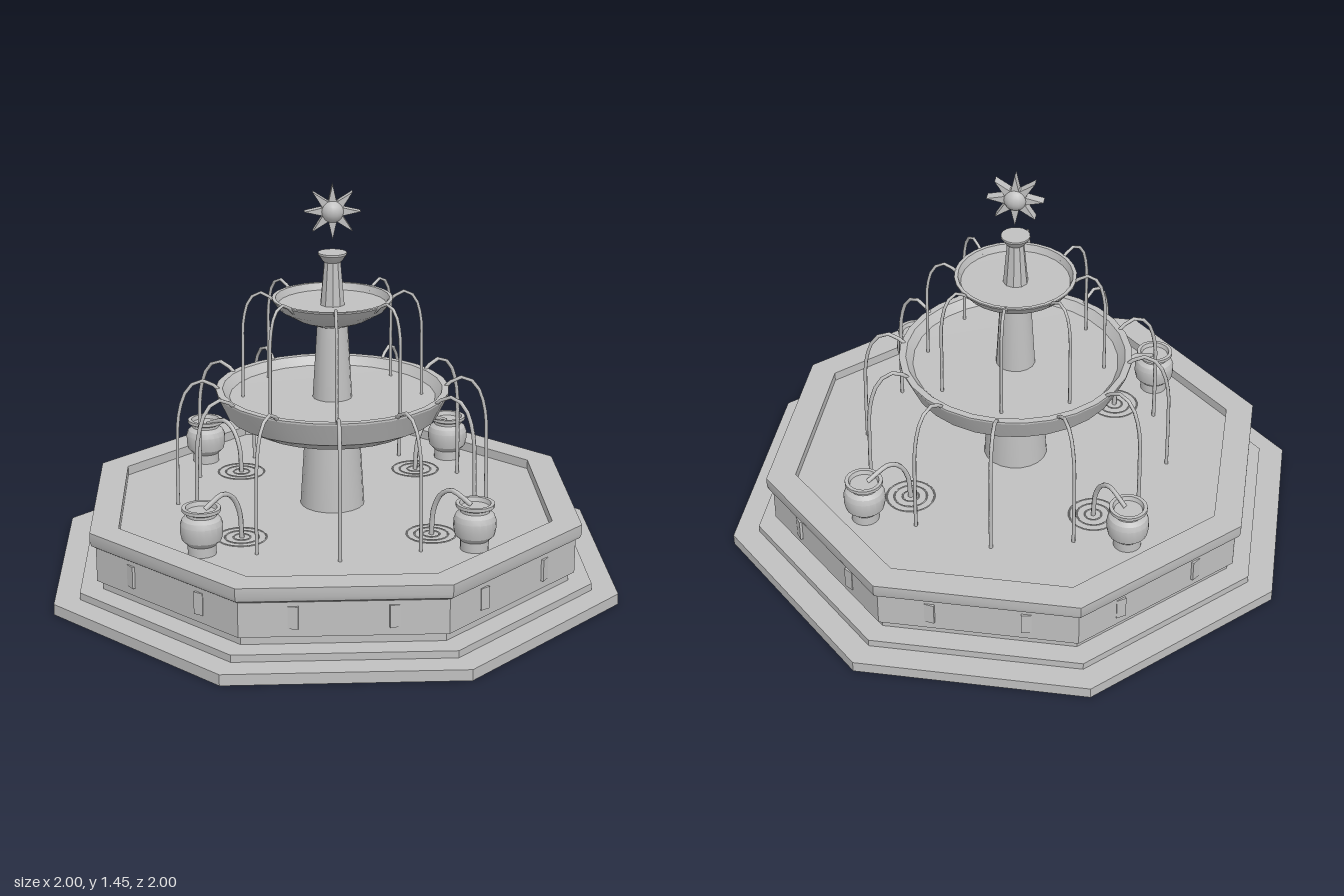
import * as THREE from 'three';
import { toCreasedNormals } from 'three/addons/utils/BufferGeometryUtils.js';

export function createModel() {
  const model = new THREE.Group();
  model.name = 'fountain';
  const stone = new THREE.MeshStandardMaterial({ color: 0xc0c0c0 });
  stone.name = 'grey stone';

  function add(name, geometry, parent = model) {
    const mesh = new THREE.Mesh(geometry, stone);
    mesh.name = name;
    parent.add(mesh);
    return mesh;
  }
  // Turned part from [radius, y] pairs, running bottom to top on the outside
  function turned(profile, sides = 28, start = 0, crease = 0.4) {
    const points = profile.map(([r, y]) => new THREE.Vector2(r, y));
    return toCreasedNormals(new THREE.LatheGeometry(points, sides, start), crease);
  }
  // Octagonal part: radii are given to the middle of a flat side
  function octagon(profile) {
    const k = 1 / Math.cos(Math.PI / 8);
    return turned(profile.map(([r, y]) => [r * k, y]), 8, Math.PI / 8);
  }
  // Jet curving outward along +x, given as [distance, y] pairs
  function jet(path, radius) {
    const curve = new THREE.CatmullRomCurve3(path.map(([x, y]) => new THREE.Vector3(x, y, 0)));
    return new THREE.TubeGeometry(curve, 14, radius, 6);
  }
  function ring(name, count, geometry, offset = 0) {
    const group = new THREE.Group();
    group.name = name + 's';
    for (let i = 0; i < count; i++) {
      add(name, geometry, group).rotation.y = offset + (i / count) * Math.PI * 2;
    }
    model.add(group);
  }

  // Steps and basin wall
  add('steps', octagon([
    [0, 0], [1, 0], [1, 0.04], [0.91, 0.04], [0.91, 0.066], [0.83, 0.066], [0.83, 0.1],
  ]));
  add('basinWall', octagon([
    [0.83, 0.1], [0.85, 0.1], [0.85, 0.225], [0.865, 0.235], [0.87, 0.25],
    [0.87, 0.285], [0.77, 0.285], [0.77, 0.245],
  ]));
  add('basinWater', octagon([[0.77, 0.25], [0, 0.25]]));

  // Small blocks around the wall
  const block = new THREE.BoxGeometry(0.04, 0.08, 0.036);
  block.translate(0.853, 0.17, 0);
  ring('wallBlock', 16, block, Math.PI / 16);

  // Columns and bowls
  add('lowerColumn', turned([[0.118, 0.25], [0.1, 0.54]], 20));
  add('largeBowl', turned([
    [0, 0.525], [0.195, 0.525], [0.3, 0.56], [0.385, 0.605], [0.425, 0.69],
    [0.425, 0.697], [0.4, 0.697], [0.375, 0.665], [0, 0.66],
  ]));
  add('middleColumn', turned([[0.072, 0.66], [0.055, 0.945]], 16));
  add('smallBowl', turned([
    [0, 0.935], [0.065, 0.935], [0.13, 0.96], [0.19, 0.995], [0.218, 1.03],
    [0.218, 1.035], [0.205, 1.035], [0.195, 1.01], [0, 1.008],
  ]));
  add('upperColumn', turned([[0.045, 1.008], [0.03, 1.175]], 10));
  add('columnCap', turned([
    [0.03, 1.165], [0.036, 1.17], [0.052, 1.193], [0.052, 1.2], [0, 1.2],
  ], 16));

  // Floating star with a ball at its centre
  const star = new THREE.Shape();
  for (let i = 0; i < 16; i++) {
    const r = i % 2 ? 0.038 : 0.1;
    const a = (i * Math.PI) / 8;
    star[i ? 'lineTo' : 'moveTo'](r * Math.cos(a), r * Math.sin(a));
  }
  star.closePath();
  const starGeometry = new THREE.ExtrudeGeometry(star, { depth: 0.036, bevelEnabled: false });
  starGeometry.translate(0, 1.35, -0.018);
  add('star', starGeometry);
  add('starBall', new THREE.SphereGeometry(0.043, 16, 12)).position.y = 1.35;

  // Water jets from both bowls
  ring('largeBowlJet', 12, jet([
    [0.4, 0.68], [0.44, 0.715], [0.485, 0.727], [0.53, 0.69],
    [0.56, 0.6], [0.568, 0.45], [0.57, 0.25],
  ], 0.007));
  ring('smallBowlJet', 8, jet([
    [0.2, 1.015], [0.235, 1.045], [0.267, 1.055], [0.3, 1.025],
    [0.32, 0.95], [0.323, 0.83], [0.325, 0.66],
  ], 0.006));

  // Four urns, each with a jet toward the centre and ripples where it lands
  const urn = turned([
    [0, 0.25], [0.05, 0.25], [0.05, 0.285], [0.07, 0.305], [0.075, 0.33], [0.075, 0.36],
    [0.068, 0.378], [0.052, 0.39], [0.052, 0.4], [0.068, 0.408], [0.068, 0.42],
    [0.055, 0.42], [0.05, 0.405], [0, 0.405],
  ], 20);
  const urnJet = jet([
    [0.655, 0.405], [0.61, 0.425], [0.565, 0.438], [0.52, 0.415], [0.485, 0.35], [0.475, 0.25],
  ], 0.009);
  for (let i = 0; i < 4; i++) {
    const corner = new THREE.Group();
    corner.name = 'urnCorner';
    corner.rotation.y = Math.PI / 4 + (i * Math.PI) / 2;
    add('urn', urn, corner).position.x = 0.67;
    add('urnJet', urnJet, corner);
    for (const radius of [0.03, 0.06, 0.088]) {
      const ripple = add('ripple', new THREE.TorusGeometry(radius, 0.003, 4, 24), corner);
      ripple.rotation.x = Math.PI / 2;
      ripple.position.set(0.475, 0.251, 0);
    }
    model.add(corner);
  }
  return model;
}
